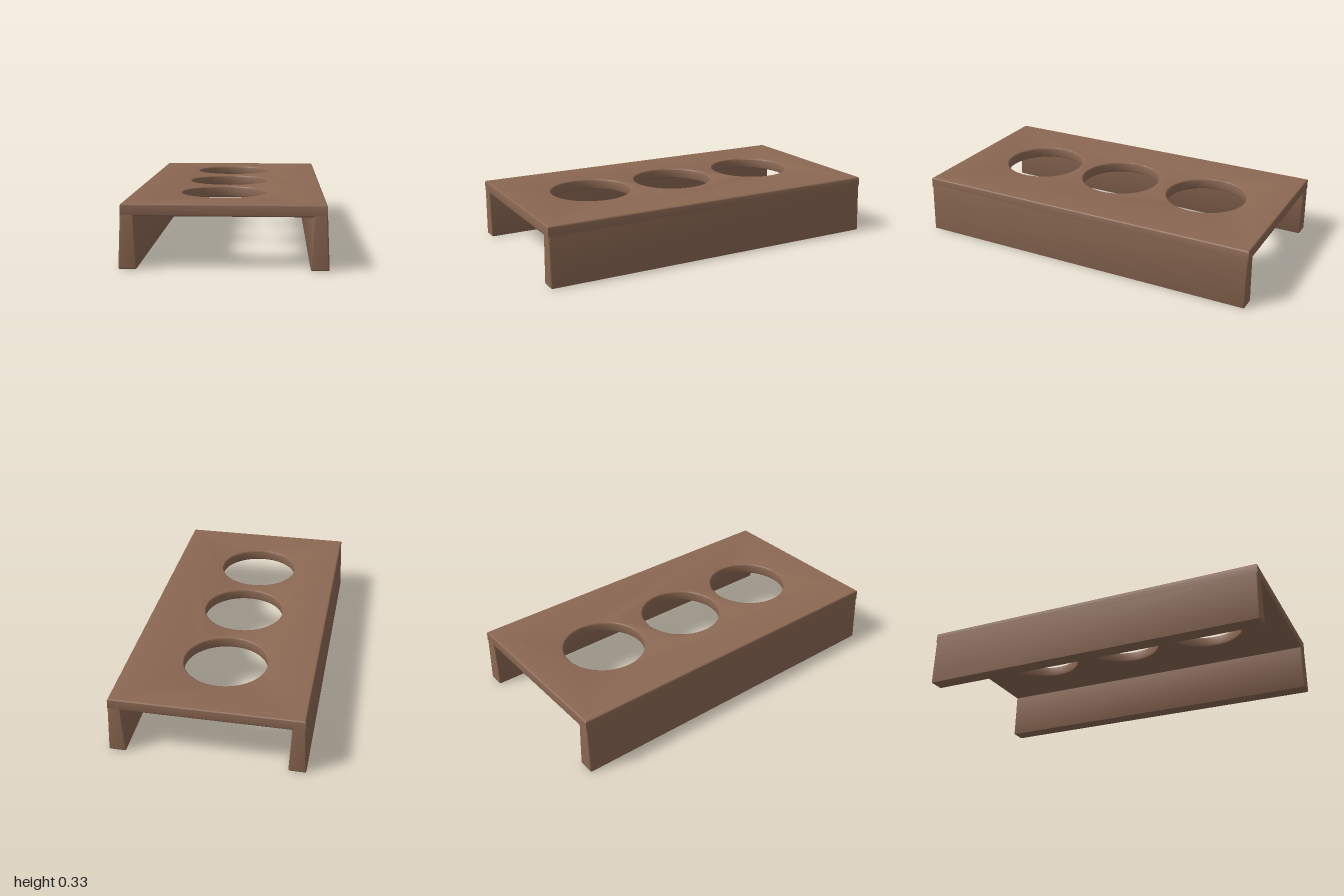
import * as THREE from 'three';
import { toCreasedNormals } from 'three/addons/utils/BufferGeometryUtils.js';

const BEVEL = 0.008;
const TOP = 0.33;
const PLATE = 0.062;
const SLOPE = 0.045; // outward lean of the sides per unit of drop

// Extrusion with softened edges that keeps its outline size, starting at z = 0
function softExtrude(shape, depth) {
  const geo = new THREE.ExtrudeGeometry(shape, {
    depth: depth - 2 * BEVEL,
    bevelEnabled: true,
    bevelThickness: BEVEL,
    bevelSize: BEVEL,
    bevelOffset: -BEVEL,
    bevelSegments: 3,
    curveSegments: 64,
  });
  geo.translate(0, 0, BEVEL);
  return geo;
}

export function createModel() {
  const group = new THREE.Group();
  const brown = new THREE.MeshStandardMaterial({ color: 0x8b6853 });
  brown.name = 'brown';

  const add = (name, geo) => {
    const mesh = new THREE.Mesh(toCreasedNormals(geo, 0.6), brown);
    mesh.name = name;
    group.add(mesh);
  };

  // Top plate with three round holes
  const w = 0.51;
  const outline = new THREE.Shape([[-w, -1], [w, -1], [w, 1], [-w, 1]].map(([x, y]) => new THREE.Vector2(x, y)));
  for (const z of [-0.55, 0, 0.53]) {
    outline.holes.push(new THREE.Path().absarc(-0.02, -z, 0.228, 0, Math.PI * 2, true));
  }
  const plate = softExtrude(outline, PLATE);
  plate.rotateX(-Math.PI / 2).translate(0, TOP - PLATE, 0);
  // Lean the plate's long edges to continue the slope of the legs
  const p = plate.attributes.position;
  for (let i = 0; i < p.count; i++) {
    const x = p.getX(i);
    if (Math.abs(x) > 0.45) p.setX(i, x + Math.sign(x) * (TOP - p.getY(i)) * SLOPE);
  }
  add('topPlate', plate);

  // Tapered side legs running the full length, with rounded feet
  for (const [name, side] of [['leftLeg', 1], ['rightLeg', -1]]) {
    const y1 = TOP - 0.02;
    const outer = (y) => w + (TOP - y) * SLOPE;
    const r = 0.008;
    const leg = new THREE.Shape();
    leg.moveTo(side * 0.445, y1);
    leg.lineTo(side * 0.431, r);
    leg.lineTo(side * 0.434, 0.002);
    leg.lineTo(side * 0.439, 0);
    leg.lineTo(side * (outer(0) - r), 0);
    leg.lineTo(side * (outer(0) - 0.002), 0.002);
    leg.lineTo(side * outer(r), r);
    leg.lineTo(side * outer(y1), y1);
    leg.closePath();
    add(name, softExtrude(leg, 2).translate(0, 0, -1));
  }
  return group;
}
